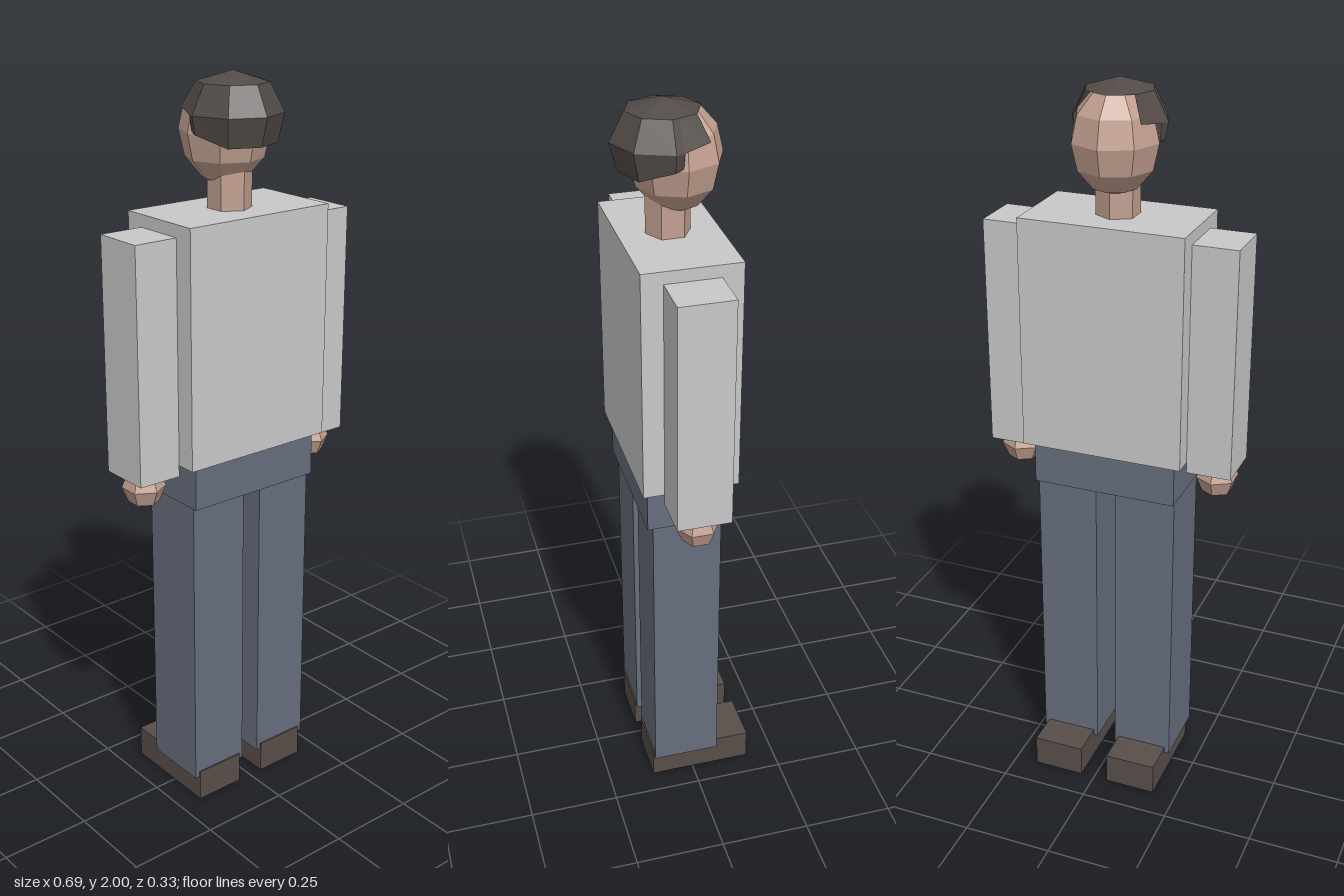
import * as THREE from 'three';

const mat = (name, color) => {
  const m = new THREE.MeshStandardMaterial({ color, flatShading: true });
  m.name = name;
  return m;
};

// Faceted cap of hair: loops of columns from one temple round the back to the other
function hairGeometry() {
  const cz = 0.033;
  const dir = (deg) => {
    const a = THREE.MathUtils.degToRad(deg);
    return new THREE.Vector2(Math.sin(a), Math.cos(a));
  };
  const edge = dir(90).lerp(dir(135), 0.25); // sideburn front, on the facet edge
  const half = [dir(135), edge, dir(90), dir(45)];
  const mirror = (v) => new THREE.Vector2(-v.x, v.y);
  const cols = [...half.map(mirror), dir(0), ...half.slice().reverse()];
  const lowY = [1.9, 1.86, 1.853, 1.826, 1.826, 1.826, 1.853, 1.86, 1.9];
  const lowR = [0.126, 0.121, 0.118, 0.112, 0.112, 0.112, 0.118, 0.121, 0.126];
  const at = (v, rx, rz, y) => [v.x * rx, y, cz + v.y * rz];

  const pos = [];
  const quad = (a, b, c, d) => pos.push(...a, ...b, ...c, ...a, ...c, ...d);
  const top = [0, 2, cz];
  const crown = cols.map((v) => at(v, 0.09, 0.094, 1.973));
  const brim = cols.map((v, i) => at(v, 0.127, 0.132, i === 0 || i === 8 ? 1.91 : 1.9));
  const low = cols.map((v, i) => at(v, lowR[i], lowR[i], lowY[i]));
  const front = at(dir(180), 0.09, 0.094, 1.973);
  for (let i = 0; i < 8; i++) {
    pos.push(...top, ...crown[i], ...crown[i + 1]);
    quad(crown[i], brim[i], brim[i + 1], crown[i + 1]);
    if (i > 0 && i < 7) quad(brim[i], low[i], low[i + 1], brim[i + 1]);
  }
  pos.push(...top, ...crown[8], ...front, ...top, ...front, ...crown[0]);
  const g = new THREE.BufferGeometry();
  g.setAttribute('position', new THREE.Float32BufferAttribute(pos, 3));
  g.computeVertexNormals();
  return g;
}

export function createModel() {
  const model = new THREE.Group();
  model.name = 'standingPerson';
  const shirt = mat('shirt grey', 0xc8c8c8);
  const denim = mat('trouser blue', 0x666d7d);
  const leather = mat('shoe brown', 0x584e49);
  const skin = mat('skin', 0xc2a090);
  const hairMat = mat('hair brown', 0x524b47);
  hairMat.side = THREE.DoubleSide;

  const add = (name, geometry, material, x = 0, y = 0, z = 0) => {
    const mesh = new THREE.Mesh(geometry, material);
    mesh.name = name;
    mesh.position.set(x, y, z);
    model.add(mesh);
    return mesh;
  };
  // Box given by its extents on each axis
  const box = (name, material, [x0, x1], [y0, y1], [z0, z1]) =>
    add(name, new THREE.BoxGeometry(x1 - x0, y1 - y0, z1 - z0), material,
      (x0 + x1) / 2, (y0 + y1) / 2, (z0 + z1) / 2);

  // Trunk
  box('torso', shirt, [-0.223, 0.223], [1.03, 1.66], [-0.108, 0.148]);
  box('hips', denim, [-0.2, 0.2], [0.91, 1.03], [-0.086, 0.132]);

  // Limbs, mirrored
  for (const [side, s] of [['left', 1], ['right', -1]]) {
    const span = (a, b) => (s > 0 ? [a, b] : [-b, -a]);
    box(side + 'Arm', shirt, span(0.223, 0.345), [1.0, 1.627], [-0.053, 0.092]);
    box(side + 'Leg', denim, span(0.028, 0.197), [0.072, 0.91], [-0.07, 0.117]);
    box(side + 'Shoe', leather, span(0.04, 0.184), [0, 0.09], [-0.168, 0.121]);
    const hand = new THREE.SphereGeometry(0.058, 6, 4).rotateY(Math.PI / 2);
    add(side + 'Hand', hand, skin, s * 0.286, 0.967, 0.022);
  }

  // Neck, head and hair
  add('neck', new THREE.CylinderGeometry(0.058, 0.058, 0.14, 6), skin, 0, 1.72, 0.021);
  add('head', new THREE.SphereGeometry(1, 8, 6).scale(0.116, 0.137, 0.118), skin, 0, 1.853, 0);
  add('hair', hairGeometry(), hairMat);
  return model;
}
